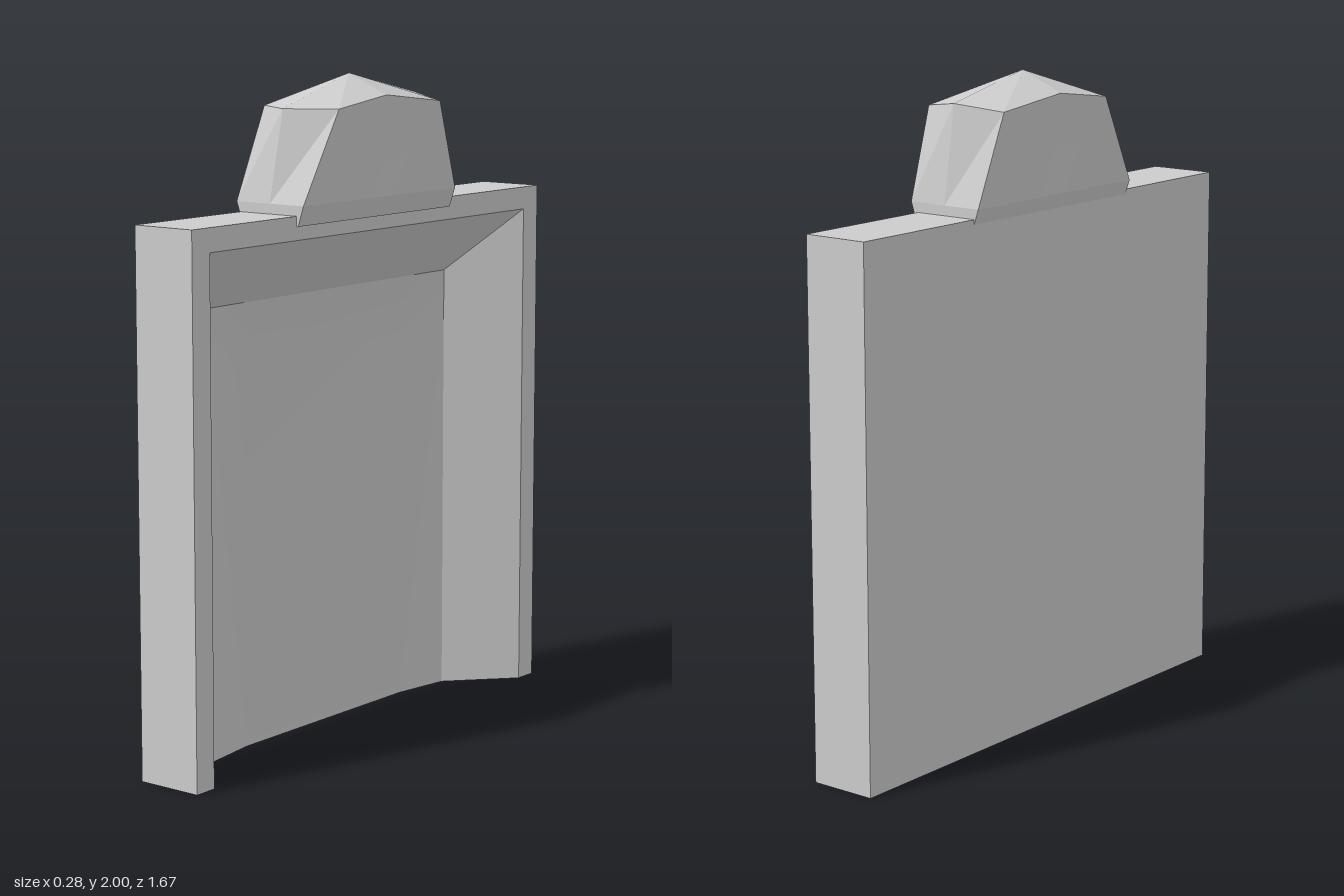
import * as THREE from 'three';
import { toCreasedNormals } from 'three/addons/utils/BufferGeometryUtils.js';

const V = (x, y, z) => new THREE.Vector3(x, y, z);

// Collects triangles and quads (corners counter-clockwise from outside)
function faceBuilder() {
  const points = [];
  const tri = (a, b, c) => points.push(a, b, c);
  const quad = (a, b, c, d) => { tri(a, b, c); tri(a, c, d); };
  const build = (crease) => toCreasedNormals(new THREE.BufferGeometry().setFromPoints(points), crease);
  return { tri, quad, build };
}

// Upright slab with a bevelled recess, open at the bottom, in its +x face
function slabGeometry() {
  const back = -0.11, front = 0.10, W = 0.835, H = 1.61;
  const zs = [-W, -0.76, -0.57, -0.38, 0.38, 0.57, 0.76, W];
  const zDepth = [front, front, -0.073, -0.1, -0.1, -0.073, front, front];
  const ys = [0, 1.16, 1.35, 1.54, H];
  const yDepth = [-0.1, -0.1, -0.073, front, front];
  const P = (i, j) => V(Math.max(zDepth[i], yDepth[j]), ys[j], zs[i]);
  const f = faceBuilder();

  for (let i = 0; i < zs.length - 1; i++) {
    // recessed face, with the corner cells mitred
    for (let j = 0; j < ys.length - 1; j++) {
      const a = P(i + 1, j), b = P(i, j), c = P(i, j + 1), d = P(i + 1, j + 1);
      if (i < 4) f.quad(a, b, c, d);
      else f.quad(b, c, d, a);
    }
    // underside follows the recess
    f.quad(V(back, 0, zs[i]), P(i, 0), P(i + 1, 0), V(back, 0, zs[i + 1]));
  }
  // top, flat back face and the two ends
  f.quad(V(back, H, -W), V(back, H, W), V(front, H, W), V(front, H, -W));
  f.quad(V(back, 0, -W), V(back, 0, W), V(back, H, W), V(back, H, -W));
  f.quad(V(back, 0, W), V(front, 0, W), V(front, H, W), V(back, H, W));
  f.quad(V(back, 0, -W), V(back, H, -W), V(front, H, -W), V(front, 0, -W));
  return f.build(0.4);
}

// Faceted cap: stacked eight-point rings closing on a peak
function capGeometry() {
  const ring = (x, y, zF, zB, midY = y, tipF = zF, tipB = zB, tipBY = y) => [
    V(x, y, zF), V(x, midY, 0.01), V(x, y, zB), V(0, tipBY, tipB),
    V(-x, y, zB), V(-x, midY, 0.01), V(-x, y, zF), V(0, y, tipF),
  ];
  const rings = [
    ring(0.105, 1.58, 0.38, -0.355),
    ring(0.125, 1.64, 0.38, -0.355),
    ring(0.14, 1.91, 0.235, -0.255, 1.94, 0.32, -0.31, 1.93),
  ];
  const peak = V(0, 2, 0.01);
  const f = faceBuilder();
  for (let i = 0; i < 8; i++) {
    const n = (i + 1) % 8;
    for (let k = 0; k < 2; k++) f.quad(rings[k][i], rings[k][n], rings[k + 1][n], rings[k + 1][i]);
    f.tri(rings[2][i], rings[2][n], peak);
    f.tri(rings[0][n], rings[0][i], V(0, 1.58, 0.01)); // underside
  }
  return f.build(0.15);
}

export function createModel() {
  const group = new THREE.Group();
  const material = new THREE.MeshStandardMaterial({ color: 0xcccccc });
  const add = (name, geometry) => {
    const mesh = new THREE.Mesh(geometry, material);
    mesh.name = name;
    group.add(mesh);
  };
  add('recessedSlab', slabGeometry());
  add('topCap', capGeometry());
  return group;
}
